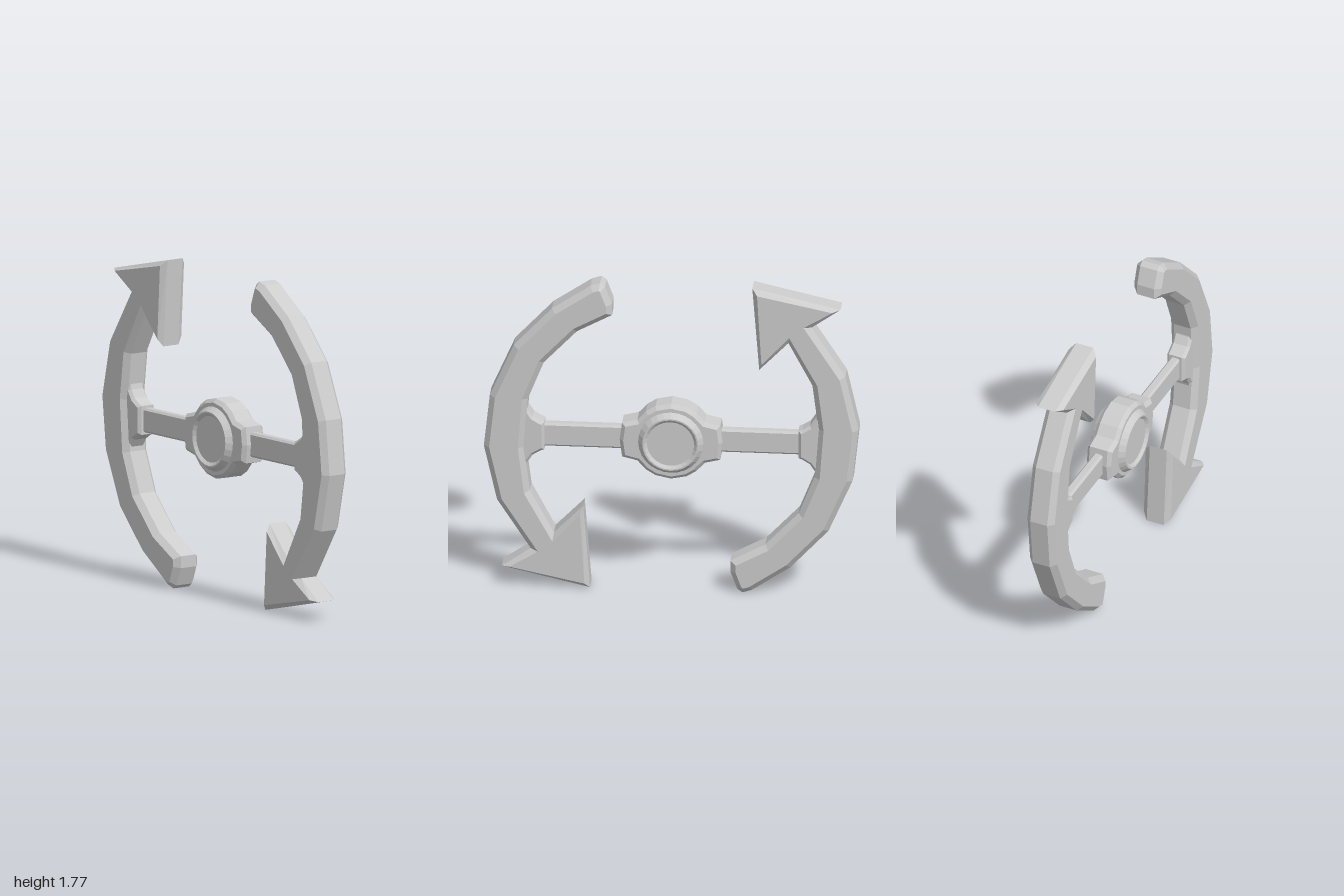
import * as THREE from 'three';

const HUB_Y = 0.863; // height of hub and spokes
const ARC_Y = 0.882; // the two arrows are turned half a circle about this height

const material = new THREE.MeshStandardMaterial({ color: 0xcccccc, flatShading: true });

// Plate with chamfered rims, centred on z = 0; the points give its widest outline
function bevelledPlate(name, points, halfDepth, bevel) {
  const shape = new THREE.Shape(points.map(([x, y]) => new THREE.Vector2(x, y)));
  const depth = 2 * (halfDepth - bevel);
  const geometry = new THREE.ExtrudeGeometry(shape, {
    depth, bevelEnabled: true, bevelSegments: 1,
    bevelSize: bevel, bevelThickness: bevel, bevelOffset: -bevel,
  });
  geometry.translate(0, 0, -depth / 2);
  const mesh = new THREE.Mesh(geometry, material);
  mesh.name = name;
  return mesh;
}

// Curved arrow: outer edge upwards, arrowhead, then inner edge down to the blunt tail
function curvedArrow(name) {
  const outline = [
    [-0.38, 0], [-0.43, 0.016], [-0.636, 0.155], [-0.84, 0.374], [-0.968, 0.668],
    [-1, 0.963], [-0.93, 1.273], [-0.75, 1.55],
    [-0.904, 1.658], [-0.433, 1.765], [-0.47, 1.294],
    [-0.626, 1.455], [-0.754, 1.214], [-0.786, 0.963], [-0.765, 0.684],
    [-0.68, 0.47], [-0.503, 0.283], [-0.316, 0.182], [-0.316, 0.118], [-0.353, 0.02],
  ].map(([x, y]) => [x, y - ARC_Y]);
  const mesh = bevelledPlate(name, outline, 0.08, 0.03);
  mesh.position.y = ARC_Y;
  return mesh;
}

// Hub body: round in the middle with a slightly bowed tab on each side
function hubBody() {
  const quarter = [[0.275, 0], [0.262, 0.098], [0.18, 0.118], [0.135, 0.168], [0.083, 0.2], [0, 0.217]];
  const upper = [...quarter, ...quarter.slice(0, -1).reverse().map(([x, y]) => [-x, y])];
  const lower = upper.slice(1, -1).reverse().map(([x, y]) => [x, -y]);
  return bevelledPlate('hubBody', [...upper, ...lower], 0.072, 0.02);
}

// Raised cap on both faces of the hub, with a shallow dish in the middle
function hubCap() {
  const front = [[0.176, 0.07], [0.15, 0.104], [0.142, 0.104], [0.126, 0.09], [0, 0.09]];
  const back = front.map(([r, z]) => [r, -z]).reverse();
  const profile = [...back, ...front].map(([r, z]) => new THREE.Vector2(r, z));
  const geometry = new THREE.LatheGeometry(profile, 28);
  geometry.rotateX(Math.PI / 2);
  const mesh = new THREE.Mesh(geometry, material);
  mesh.name = 'hubCap';
  return mesh;
}

// Spoke and the flared bracket that joins it to the arrow; side is +1 or -1
function spokeArm(side) {
  const arm = new THREE.Group();
  arm.name = side > 0 ? 'leftArm' : 'rightArm';

  // Spoke: bar with chamfered long edges, running along x
  const h = 0.066, d = 0.027, c = 0.011;
  const section = new THREE.Shape([
    [d, c - h], [d, h - c], [d - c, h], [c - d, h],
    [-d, h - c], [-d, c - h], [c - d, -h], [d - c, -h],
  ].map(([x, y]) => new THREE.Vector2(x, y)));
  const bar = new THREE.ExtrudeGeometry(section, { depth: 0.55, bevelEnabled: false });
  bar.rotateY(Math.PI / 2);
  bar.translate(side > 0 ? 0.2 : -0.75, 0, 0);
  const spoke = new THREE.Mesh(bar, material);
  spoke.name = 'spoke';

  // Bracket: narrow at the spoke, flaring into the arrow
  const upper = [[0.678, 0.078], [0.7, 0.087], [0.74, 0.112], [0.768, 0.155], [0.785, 0.22], [0.85, 0.22]];
  const lower = upper.map(([x, y]) => [x, -y]).reverse();
  const outline = [...upper, ...lower].map(([x, y]) => [side * x, y]);
  arm.add(spoke, bevelledPlate('bracket', outline, 0.053, 0.015));
  return arm;
}

export function createModel() {
  const model = new THREE.Group();
  model.name = 'twinArrowWheel';

  const rightArrow = curvedArrow('rightArrow');
  const leftArrow = curvedArrow('leftArrow');
  leftArrow.rotation.z = Math.PI;

  const centre = new THREE.Group();
  centre.name = 'hubAndArms';
  centre.position.y = HUB_Y;
  centre.add(hubBody(), hubCap(), spokeArm(1), spokeArm(-1));

  model.add(rightArrow, leftArrow, centre);
  return model;
}
